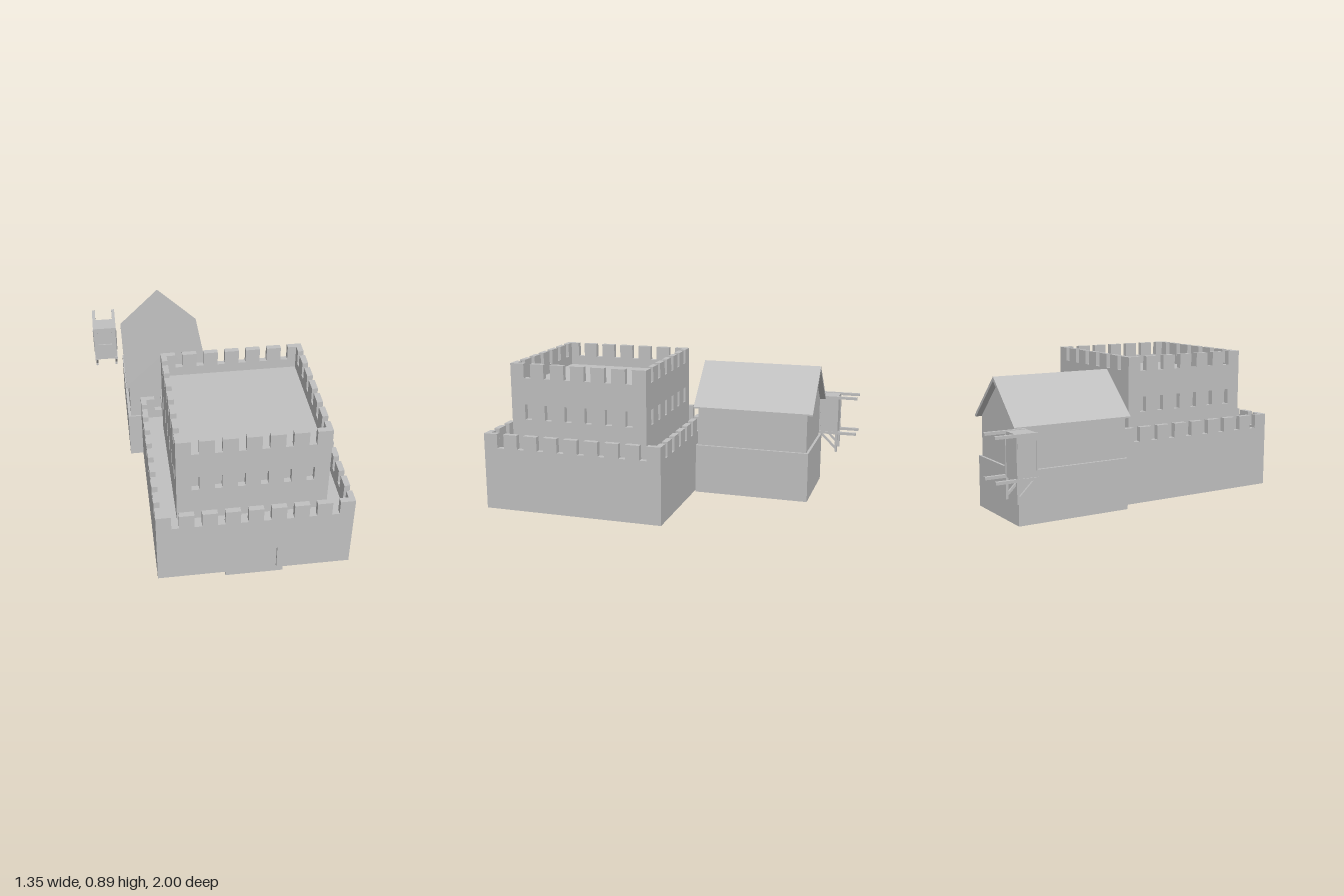
import * as THREE from 'three';

const U = 0.0415;      // battlement module: merlon = 2U, gap = U
const T = 0.033;       // wall thickness
const GROUND = 0.045;  // underside of the masonry
const CX = 0.13, CZ = 0.46; // castle centre
const HX = -0.235;     // house centre line

export function createModel() {
  const model = new THREE.Group();
  const stone = new THREE.MeshStandardMaterial({ color: 0xc0c0c0, side: THREE.DoubleSide });
  stone.name = 'stone';

  const add = (parent, name, geometry, x = 0, y = 0, z = 0) => {
    const mesh = new THREE.Mesh(geometry, stone);
    mesh.name = name;
    mesh.position.set(x, y, z);
    parent.add(mesh);
    return mesh;
  };

  // Box given by its limits
  const block = (parent, name, x0, x1, y0, y1, z0, z1) =>
    add(parent, name, new THREE.BoxGeometry(x1 - x0, y1 - y0, z1 - z0),
      (x0 + x1) / 2, (y0 + y1) / 2, (z0 + z1) / 2);

  const polygon = pts => new THREE.Shape(pts.map(p => new THREE.Vector2(...p)));
  const rect = (x0, x1, y0, y1) => polygon([[x0, y0], [x1, y0], [x1, y1], [x0, y1]]);
  const extrude = (shape, depth) => new THREE.ExtrudeGeometry(shape, { depth, bevelEnabled: false });

  // Hollow box without a bottom face
  const shell = (w, h, d) => {
    const g = new THREE.BoxGeometry(w, h, d);
    const index = Array.from(g.index.array);
    index.splice(18, 6);
    g.setIndex(index);
    g.clearGroups();
    return g;
  };

  // Crenellated wall outline, centred on x
  const wallShape = (merlons, bottom, top, door) => {
    const half = (merlons * 3 - 1) * U / 2, low = top - 0.084;
    const pts = [[-half, bottom]];
    if (door) pts.push(...door);
    pts.push([half, bottom]);
    for (let i = merlons - 1; i >= 0; i--) {
      const a = -half + i * 3 * U, b = a + 2 * U;
      if (i < merlons - 1) pts.push([b, low]);
      pts.push([b, top], [a, top]);
      if (i > 0) pts.push([a, low]);
    }
    return polygon(pts);
  };

  // Four walls around a square
  const ring = (name, merlons, shapeFor) => {
    const group = new THREE.Group();
    group.name = name;
    group.position.set(CX, 0, CZ);
    const half = (merlons * 3 - 1) * U / 2;
    for (let k = 0; k < 4; k++) {
      const g = extrude(shapeFor(k), T);
      g.translate(0, 0, half - T);
      g.rotateY(k * Math.PI / 2);
      add(group, name + 'Side', g);
    }
    model.add(group);
  };

  // Outer wall with the gateway cut in the front
  const doorway = [[-0.125, GROUND], [-0.125, 0.198], [-0.04, 0.28], [0.04, 0.28], [0.125, 0.198], [0.125, GROUND]];
  ring('outerWall', 9, k => wallShape(9, GROUND, 0.498, k === 0 && doorway));
  block(model, 'gate', -0.03, 0.296, 0, 0.32, 0.957, 0.984);
  add(model, 'terrace', new THREE.BoxGeometry(1.02, 0.01, 1.02), CX, 0.355, CZ);

  // Keep: hollow foot, windowed walls and roof deck
  add(model, 'keepFoot', shell(20 * U, 0.31, 20 * U), CX, GROUND + 0.155, CZ);
  ring('keepWall', 7, () => {
    const shape = wallShape(7, 0.355, 0.895);
    for (let i = 0; i < 6; i++) {
      const x = (i - 2.5) * 3 * U;
      shape.holes.push(rect(x - U / 2, x + U / 2, 0.565, 0.656));
    }
    return shape;
  });
  const inner = 20 * U - 2 * T;
  add(model, 'keepCore', new THREE.BoxGeometry(inner, 0.395, inner), CX, 0.5575, CZ);

  // House: open stone base, gabled upper storey, pitched roof
  add(model, 'houseBase', shell(0.51, 0.3, 0.695), HX, GROUND + 0.15, -0.4375);
  add(model, 'houseUpper', extrude(polygon([
    [-0.238, 0.345], [0.238, 0.345], [0.238, 0.58], [0, 0.808], [-0.238, 0.58]]), 0.67), HX, 0, -0.77);
  add(model, 'houseRoof', extrude(polygon([
    [-0.255, 0.585], [-0.255, 0.576], [-0.24, 0.576], [0, 0.806],
    [0.24, 0.576], [0.255, 0.576], [0.255, 0.585], [0, 0.83]]), 0.73), HX, 0, -0.805);

  // Hanging closet carried on timber beams
  const closet = new THREE.Group();
  closet.name = 'closet';
  model.add(closet);
  const L = -0.673, R = -0.527, B = 0.34, H = 0.583;
  const front = rect(L, R, B, H);
  front.holes.push(rect(-0.645, -0.555, 0.455, 0.555));
  add(closet, 'closetFront', extrude(front, 0.008), 0, 0, -0.77);
  block(closet, 'closetBack', L, R, B, H, -0.878, -0.87);
  block(closet, 'closetTop', L, R, H - 0.008, H, -0.878, -0.762);
  block(closet, 'closetFloor', L, R, B, B + 0.008, -0.878, -0.762);

  // Slanted strut between two (y, z) points
  const strut = (name, x, y0, z0, y1, z1) => {
    const mesh = add(closet, name,
      new THREE.BoxGeometry(0.013, 0.013, Math.hypot(y1 - y0, z1 - z0)), x, (y0 + y1) / 2, (z0 + z1) / 2);
    mesh.rotation.x = -Math.atan2(y1 - y0, z1 - z0);
  };
  for (const x of [-0.665, -0.533]) {
    block(closet, 'closetSide', x - 0.004, x + 0.004, B, H, -0.875, -0.765);
    for (const y of [0.578, 0.345]) block(closet, 'beam', x - 0.01, x + 0.01, y - 0.008, y + 0.008, -1, -0.758);
    block(closet, 'post', x - 0.007, x + 0.007, 0.22, 0.58, -0.882, -0.868);
    strut('upperBrace', x + Math.sign(x + 0.6) * 0.006, 0.57, -0.77, 0.35, -0.86);
    strut('lowerBrace', x, 0.34, -0.775, 0.245, -0.872);
  }
  return model;
}
